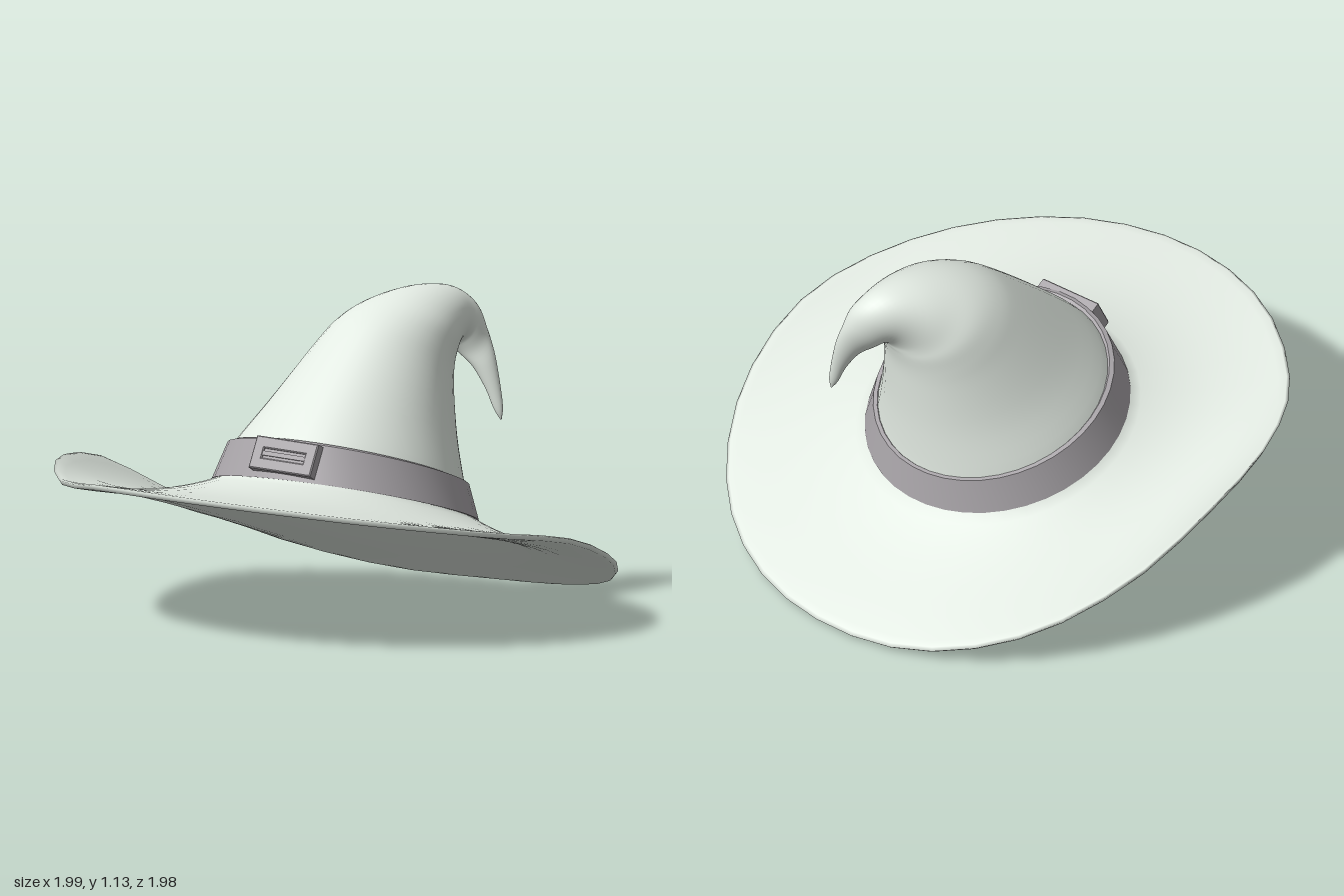
import * as THREE from 'three';

const SEG = 40;
const feltMat = new THREE.MeshStandardMaterial({ color: 0xe2eae2, side: THREE.DoubleSide });
const bandMat = new THREE.MeshStandardMaterial({ color: 0xa8a4a8 });

// Ring of points spanning a front point (fz, fy) and a back point (bz, by),
// centred on x = cx with half width rx.
function ring([fz, fy, bz, by, cx, rx], scale = 1) {
  const pts = [];
  for (let j = 0; j < SEG; j++) {
    const a = (j / SEG) * Math.PI * 2, c = Math.cos(a) * scale, s = Math.sin(a) * scale;
    pts.push(new THREE.Vector3(cx + rx * c, (fy + by) / 2 + s * (fy - by) / 2, (fz + bz) / 2 + s * (fz - bz) / 2));
  }
  return pts;
}

// Skin a list of rings; a ring listed twice makes a sharp edge.
function loft(rings) {
  const pos = rings.flat().flatMap(p => [p.x, p.y, p.z]);
  const idx = [];
  for (let i = 0; i < rings.length - 1; i++) {
    for (let j = 0; j < SEG; j++) {
      const k = (j + 1) % SEG;
      const a = i * SEG + j, b = i * SEG + k, c = a + SEG, d = b + SEG;
      idx.push(a, b, c, b, d, c);
    }
  }
  const g = new THREE.BufferGeometry();
  g.setAttribute('position', new THREE.Float32BufferAttribute(pos, 3));
  g.setIndex(idx);
  g.computeVertexNormals();
  return g;
}

// Crown sections from the drooping tip to the base: [frontZ, frontY, backZ, backY, centreX, halfWidth]
const CROWN = [
  [-0.580, 0.640, -0.576, 0.640, 0.312, 0.003],
  [-0.592, 0.690, -0.565, 0.675, 0.300, 0.018],
  [-0.602, 0.780, -0.555, 0.745, 0.275, 0.028],
  [-0.612, 0.890, -0.542, 0.820, 0.235, 0.045],
  [-0.610, 0.985, -0.530, 0.865, 0.190, 0.065],
  [-0.585, 1.060, -0.515, 0.895, 0.160, 0.085],
  [-0.520, 1.110, -0.505, 0.900, 0.130, 0.105],
  [-0.420, 1.125, -0.495, 0.890, 0.105, 0.140],
  [-0.310, 1.117, -0.490, 0.875, 0.085, 0.172],
  [-0.200, 1.090, -0.485, 0.855, 0.067, 0.204],
  [-0.100, 1.045, -0.475, 0.800, 0.052, 0.228],
  [0.000, 0.970, -0.468, 0.720, 0.042, 0.258],
  [0.200, 0.790, -0.460, 0.560, 0.028, 0.333],
  [0.340, 0.650, -0.460, 0.400, 0.015, 0.410],
  [0.375, 0.580, -0.465, 0.320, 0.015, 0.435],
];
const BASE = [0.41, 0.53, -0.49, 0.26, 0.015, 0.47];

// Rim heights at equal angles, from +x round by the front (+z)
const RIM = [0.35, 0.41, 0.465, 0.51, 0.535, 0.535, 0.505, 0.53, 0.48, 0.30, 0.13, 0.03, 0.01, 0.03, 0.10, 0.23];

function crownSections(steps) {
  const curve = f => new THREE.CatmullRomCurve3(CROWN.map(f), false, 'catmullrom', 0.5);
  const front = curve(r => new THREE.Vector3(r[4], r[1], r[0]));
  const back = curve(r => new THREE.Vector3(r[4], r[3], r[2]));
  const width = curve(r => new THREE.Vector3(r[5], 0, 0));
  return Array.from({ length: steps + 1 }, (_, i) => {
    const t = i / steps, f = front.getPoint(t), b = back.getPoint(t);
    return [f.z, f.y, b.z, b.y, f.x, width.getPoint(t).x];
  });
}

// Brim ring at t = 0 (crown) to 1 (rim): a tilted plane, flared at the crown and curled at the rim
function brimRing(t, drop = 0) {
  const rimCurve = new THREE.CatmullRomCurve3(RIM.map(y => new THREE.Vector3(0, y, 0)), true, 'catmullrom', 0.5);
  const plane = z => 0.31 + 0.26 * z;
  return ring(BASE).map((p, j) => {
    const a = (j / SEG) * Math.PI * 2, rx = Math.cos(a) * 0.997, rz = Math.sin(a) * 0.99;
    const z = THREE.MathUtils.lerp(p.z, rz, t);
    const y = plane(z) + (p.y - plane(p.z)) * (1 - t) ** 2.5
      + (rimCurve.getPoint(j / SEG).y - plane(rz)) * t ** 3;
    return new THREE.Vector3(THREE.MathUtils.lerp(p.x, rx, t), y - drop, z);
  });
}

function buildFelt() {
  const sections = crownSections(56);
  const brimT = [0, 0.08, 0.17, 0.28, 0.4, 0.52, 0.64, 0.75, 0.85, 0.93, 0.98];
  const inner = sections.slice(34).reverse();
  return loft([
    ...sections.map(s => ring(s)),
    ...brimT.map(t => brimRing(t)),
    brimRing(1, 0.006),
    ...brimT.slice().reverse().map(t => brimRing(t, 0.02)),
    ...inner.map(s => ring(s, 0.96)),
    ring(inner[inner.length - 1], 0.5),
    ring(inner[inner.length - 1], 0),
  ]);
}

function buildBand() {
  const bottom = ring([0.42, 0.53, -0.495, 0.262, 0.015, 0.478]);
  const top = ring([0.362, 0.66, -0.477, 0.385, 0.015, 0.43]);
  const lip = ring([0.345, 0.663, -0.464, 0.388, 0.015, 0.414]);
  const lipIn = ring([0.325, 0.645, -0.45, 0.375, 0.015, 0.40]);
  const under = ring([0.37, 0.53, -0.45, 0.262, 0.015, 0.43]);
  return loft([lipIn, lip, lip, top, top, bottom, bottom, under]);
}

// Rectangular frame with a window
function buildFrame(w, h, border, depth) {
  const rect = (S, x, y) => new S([[-x, -y], [x, -y], [x, y], [-x, y]].map(p => new THREE.Vector2(...p)));
  const shape = rect(THREE.Shape, w / 2, h / 2);
  shape.holes.push(rect(THREE.Path, w / 2 - border, h / 2 - border));
  return new THREE.ExtrudeGeometry(shape, {
    depth, bevelEnabled: true, bevelSize: 0.004, bevelThickness: 0.004, bevelSegments: 1,
  });
}

export function createModel() {
  const model = new THREE.Group();
  model.name = 'pointedHat';
  const add = (parent, name, geo, mat) => {
    const m = new THREE.Mesh(geo, mat);
    m.name = name;
    parent.add(m);
    return m;
  };

  add(model, 'crownAndBrim', buildFelt(), feltMat);
  add(model, 'hatBand', buildBand(), bandMat);

  // Buckle lying against the sloping front of the band
  const buckle = new THREE.Group();
  buckle.name = 'buckle';
  buckle.position.set(0.046, 0.603, 0.384);
  buckle.rotation.set(-0.44, 0.07, -0.03);
  add(buckle, 'buckleFrame', buildFrame(0.245, 0.112, 0.034, 0.034), bandMat).position.z = -0.015;
  add(buckle, 'bucklePlate', new THREE.BoxGeometry(0.2, 0.08, 0.03), bandMat);
  add(buckle, 'buckleBar', new THREE.BoxGeometry(0.19, 0.016, 0.034), bandMat).position.z = 0.004;
  model.add(buckle);

  return model;
}
